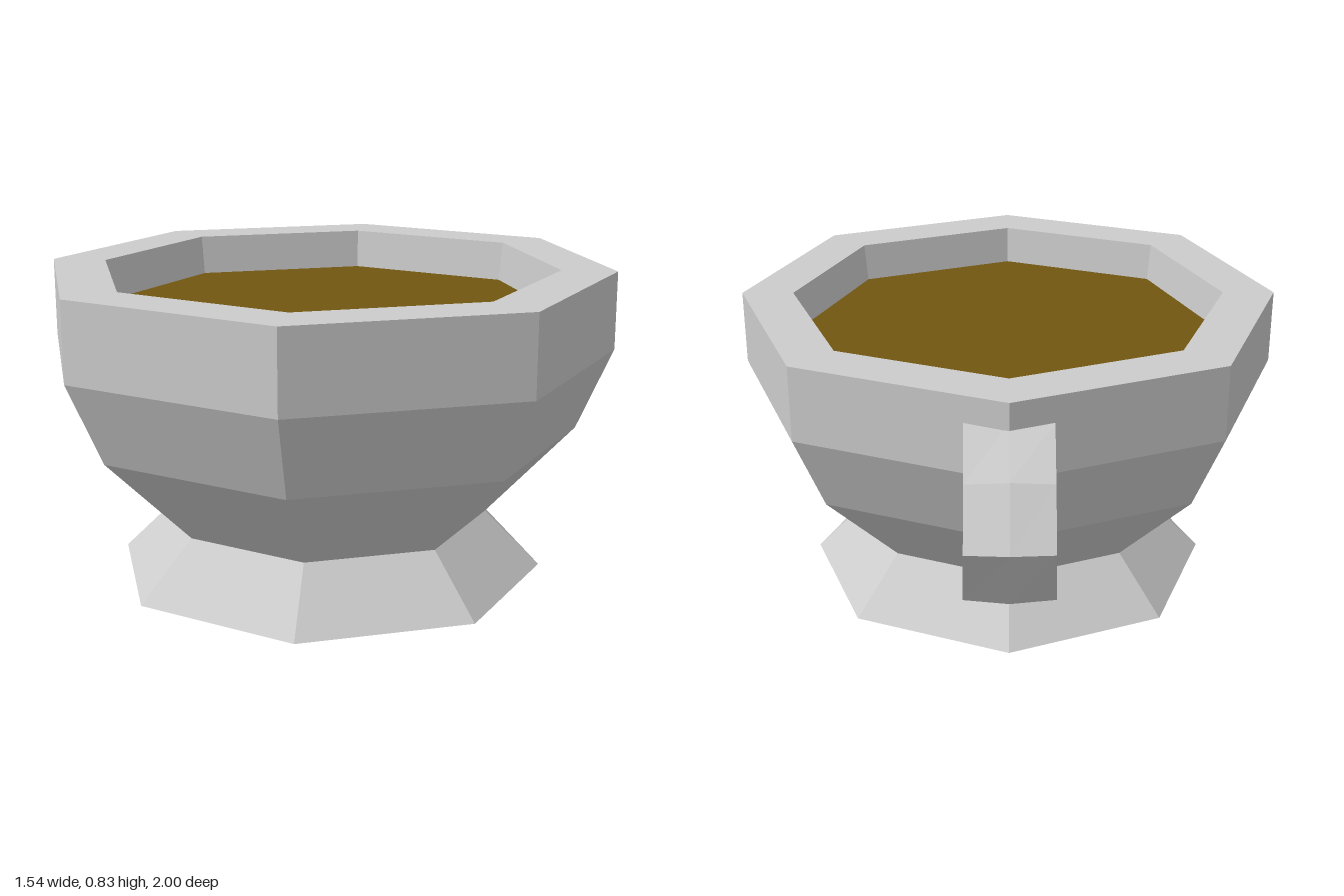
import * as THREE from 'three';

const CENTRE_Z = 0.19;

// Eight-sided turned form, slightly narrower across its side corners
function turned(name, profile, material) {
  const points = profile.map(([r, y]) => new THREE.Vector2(r, y));
  const geometry = new THREE.LatheGeometry(points, 8);
  const pos = geometry.attributes.position;
  for (let i = 0; i < pos.count; i++) {
    const onSide = Math.abs(pos.getZ(i)) < 1e-4;
    pos.setX(i, pos.getX(i) * (onSide ? 0.95 : 0.985));
  }
  geometry.translate(0, 0, CENTRE_Z);
  geometry.computeVertexNormals();
  const mesh = new THREE.Mesh(geometry, material);
  mesh.name = name;
  return mesh;
}

// Closed handle loop: each station pairs an outer and an inner point as [z, y]
function handleGeometry() {
  const stations = [
    [[-0.573, 0.757], [-0.598, 0.728]],
    [[-0.89, 0.747], [-0.874, 0.726]],
    [[-0.99, 0.62], [-0.957, 0.622]],
    [[-0.822, 0.405], [-0.79, 0.426]],
    [[-0.475, 0.28], [-0.46, 0.312]],
    [[-0.354, 0.262], [-0.434, 0.303]],
    [[-0.477, 0.395], [-0.5, 0.378]],
    [[-0.573, 0.61], [-0.598, 0.613]],
  ];
  const middle = new THREE.Vector2(-0.7, 0.56);
  const positions = [];
  const index = [];
  stations.forEach(([outer, inner], s) => {
    const w = s === 1 || s === 2 ? 0.105 : 0.113;
    // Shallow ridge along the exposed outer face
    const ridge = new THREE.Vector2(...outer);
    if (s > 0 && s < 5) {
      ridge.add(ridge.clone().sub(middle).setLength(0.01));
    }
    positions.push(
      w, outer[1], outer[0],
      0, ridge.y, ridge.x,
      -w, outer[1], outer[0],
      -w, inner[1], inner[0],
      w, inner[1], inner[0],
    );
    const next = (s + 1) % stations.length;
    for (let c = 0; c < 5; c++) {
      const d = (c + 1) % 5;
      const a = s * 5, b = next * 5;
      index.push(a + c, b + c, a + d, b + c, b + d, a + d);
    }
  });
  const geometry = new THREE.BufferGeometry();
  geometry.setAttribute('position', new THREE.Float32BufferAttribute(positions, 3));
  geometry.setIndex(index);
  geometry.computeVertexNormals();
  return geometry;
}

export function createModel() {
  const group = new THREE.Group();
  group.name = 'teacup';
  const grey = new THREE.MeshStandardMaterial({ color: 0xcccccc, flatShading: true });
  const tea = new THREE.MeshStandardMaterial({ color: 0x725610, flatShading: true });

  // Flared foot with a closed underside
  group.add(turned('foot', [[0, 0], [0.62, 0], [0.46, 0.15]], grey));

  // Bowl wall, rim and inner lip
  group.add(turned('bowl', [
    [0.46, 0.15], [0.71, 0.4], [0.81, 0.62], [0.81, 0.83], [0.655, 0.83], [0.642, 0.72],
  ], grey));

  // Liquid surface
  group.add(turned('liquid', [[0.642, 0.72], [0, 0.72]], tea));

  const handle = new THREE.Mesh(handleGeometry(), grey);
  handle.name = 'handle';
  group.add(handle);
  return group;
}
